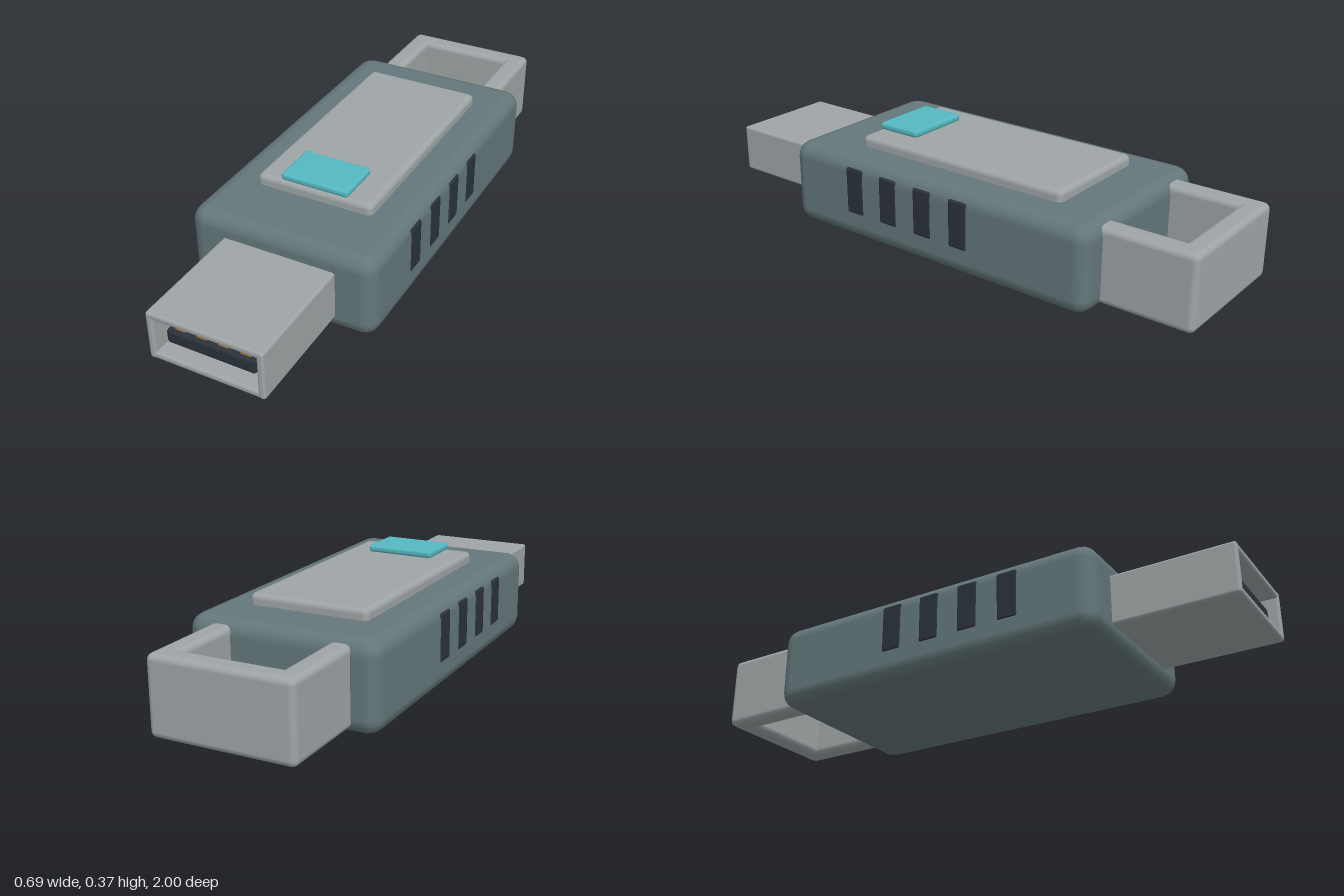
import * as THREE from 'three';
import { RoundedBoxGeometry } from 'three/addons/geometries/RoundedBoxGeometry.js';

const material = (name, color) => {
  const m = new THREE.MeshStandardMaterial({ color });
  m.name = name;
  return m;
};

export function createModel() {
  const model = new THREE.Group();
  model.name = 'usbStick';
  const casing = material('casing slate', 0x64777a);
  const metal = material('metal grey', 0x9fa5a7);
  const dark = material('dark plastic', 0x2a323a);
  const accent = material('accent cyan', 0x55b8c1);
  const gold = material('contact gold', 0xc08a35);

  // Rounded block given by its extents on each axis
  const block = (name, mat, [x0, x1], [y0, y1], [z0, z1], radius, parent = model) => {
    const geo = new RoundedBoxGeometry(x1 - x0, y1 - y0, z1 - z0, 2, radius);
    const mesh = new THREE.Mesh(geo, mat);
    mesh.name = name;
    mesh.position.set((x0 + x1) / 2, (y0 + y1) / 2, (z0 + z1) / 2);
    parent.add(mesh);
  };
  const group = (name) => {
    const g = new THREE.Group();
    g.name = name;
    model.add(g);
    return g;
  };

  // Casing with raised top plate and button
  block('body', casing, [-0.34, 0.34], [0, 0.305], [-0.68, 0.58], 0.055);
  block('topPlate', metal, [-0.215, 0.215], [0.28, 0.343], [-0.5, 0.35], 0.02);
  block('button', accent, [-0.125, 0.125], [0.341, 0.368], [0.175, 0.345], 0.011);

  // Hollow connector shell: two side walls, top and bottom
  const shell = group('connectorShell');
  for (const s of [-1, 1]) {
    const x = s * 0.1925;
    block('shellSide', metal, [x - 0.0125, x + 0.0125], [0.055, 0.232], [0.54, 1], 0.01, shell);
  }
  for (const y of [0.056, 0.207])
    block('shellPlate', metal, [-0.198, 0.198], [y, y + 0.025], [0.54, 0.999], 0.01, shell);

  // Tongue with four contacts
  block('tongue', dark, [-0.157, 0.157], [0.11, 0.16], [0.55, 0.97], 0.01);
  const contacts = group('contacts');
  for (let i = 0; i < 4; i++) {
    const x = (i - 1.5) * 0.0767;
    block('contact', gold, [x - 0.0185, x + 0.0185], [0.154, 0.168], [0.68, 0.955], 0.003, contacts);
  }

  // Keyring loop at the back
  const loop = group('keyringLoop');
  for (const s of [-1, 1]) {
    const x = s * 0.21;
    block('loopSide', metal, [x - 0.04, x + 0.04], [0.022, 0.285], [-0.999, -0.64], 0.022, loop);
  }
  block('loopBack', metal, [-0.25, 0.25], [0.022, 0.285], [-1, -0.92], 0.022, loop);

  // Grip ridges on both sides
  const grips = group('grips');
  for (const s of [-1, 1]) {
    for (let i = 0; i < 4; i++) {
      const z = 0.275 - i * 0.1525;
      const x = s * 0.323;
      block('gripRidge', dark, [x - 0.02, x + 0.02], [0.1, 0.27], [z - 0.038, z + 0.038], 0.008, grips);
    }
  }
  return model;
}
